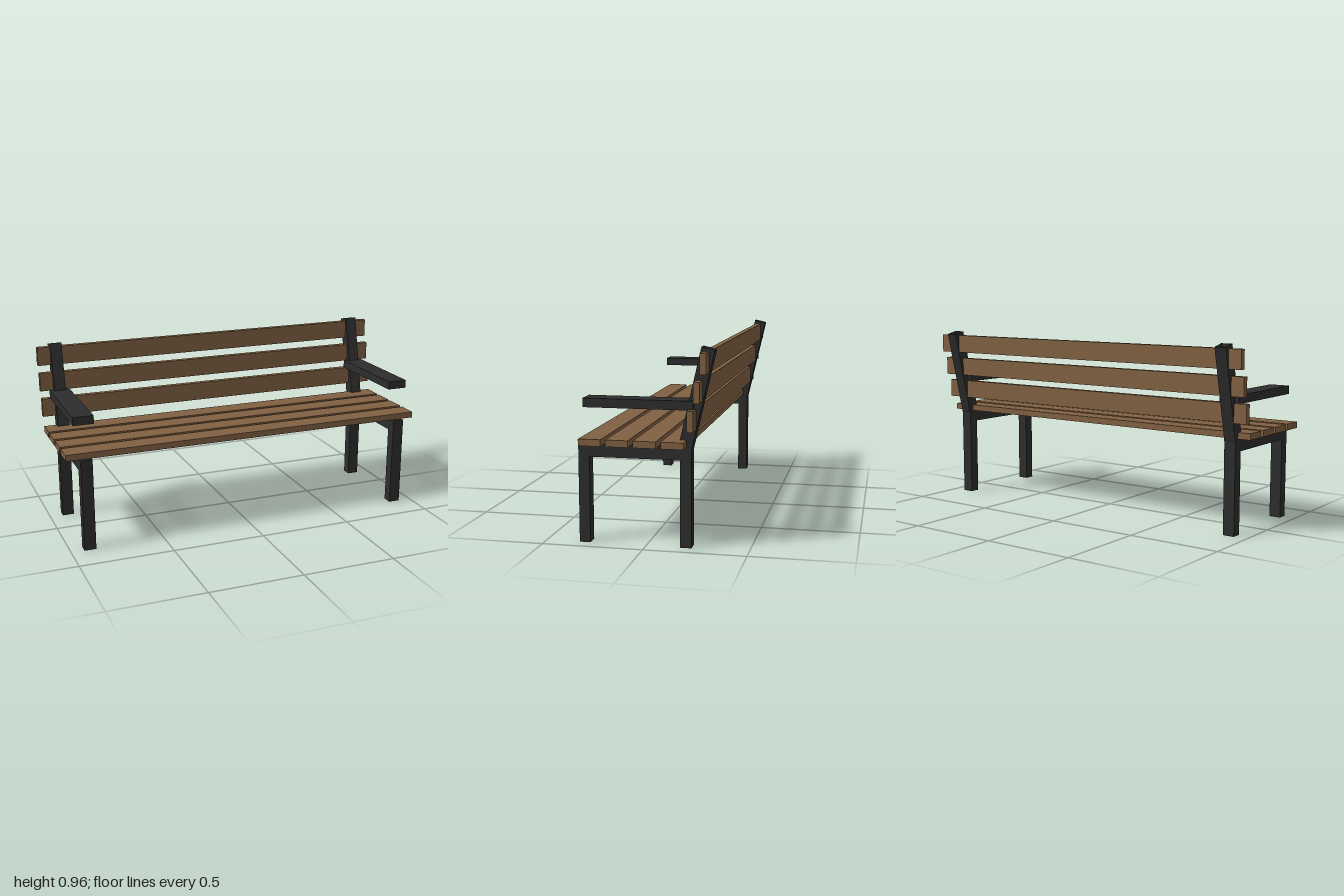
import * as THREE from 'three';

export function createModel() {
  const bench = new THREE.Group();
  bench.name = 'bench';
  const steel = new THREE.MeshStandardMaterial({ color: 0x2d2d2d });
  steel.name = 'dark steel';
  const wood = new THREE.MeshStandardMaterial({ color: 0x806042 });
  wood.name = 'brown wood';

  function box(name, material, w, h, d, x, y, z) {
    const mesh = new THREE.Mesh(new THREE.BoxGeometry(w, h, d), material);
    mesh.name = name;
    mesh.position.set(x, y, z);
    bench.add(mesh);
  }

  // Hollow square tube with open ends, standing on its origin
  function tube(name, w, d, length, x, y, z, lean = 0) {
    const rect = (path, a, b) =>
      path.moveTo(-a, -b).lineTo(a, -b).lineTo(a, b).lineTo(-a, b).closePath();
    const wall = 0.004;
    const shape = new THREE.Shape();
    rect(shape, w / 2, d / 2);
    const hole = new THREE.Path();
    rect(hole, w / 2 - wall, d / 2 - wall);
    shape.holes.push(hole);
    const geometry = new THREE.ExtrudeGeometry(shape, { depth: length, bevelEnabled: false });
    geometry.rotateX(-Math.PI / 2);
    const mesh = new THREE.Mesh(geometry, steel);
    mesh.name = name;
    mesh.position.set(x, y, z);
    mesh.rotation.x = lean;
    bench.add(mesh);
  }

  // Seat slats
  for (let i = 0; i < 4; i++) {
    box('seatSlat', wood, 2, 0.033, 0.11, 0, 0.5065, 0.256 - i * 0.1335);
  }

  // Backrest slats, upright and stepped along the leaning posts
  for (let i = 0; i < 3; i++) {
    box('backSlat', wood, 2, 0.099, 0.031, 0, 0.622 + i * 0.135, -0.2275 - i * 0.0305);
  }

  // Side frames
  for (const side of [-1, 1]) {
    const x = side * 0.899;
    tube('frontLeg', 0.062, 0.054, 0.425, x, 0, 0.305);
    tube('rearLeg', 0.062, 0.054, 0.425, x, 0, -0.195);
    box('sideRail', steel, 0.062, 0.065, 0.554, x, 0.4575, 0.055);
    tube('backPost', 0.062, 0.065, 0.505, x, 0.4635, -0.1864, -0.2269);
    box('armrest', steel, 0.108, 0.044, 0.535, x, 0.69, 0.0325);
  }

  return bench;
}
